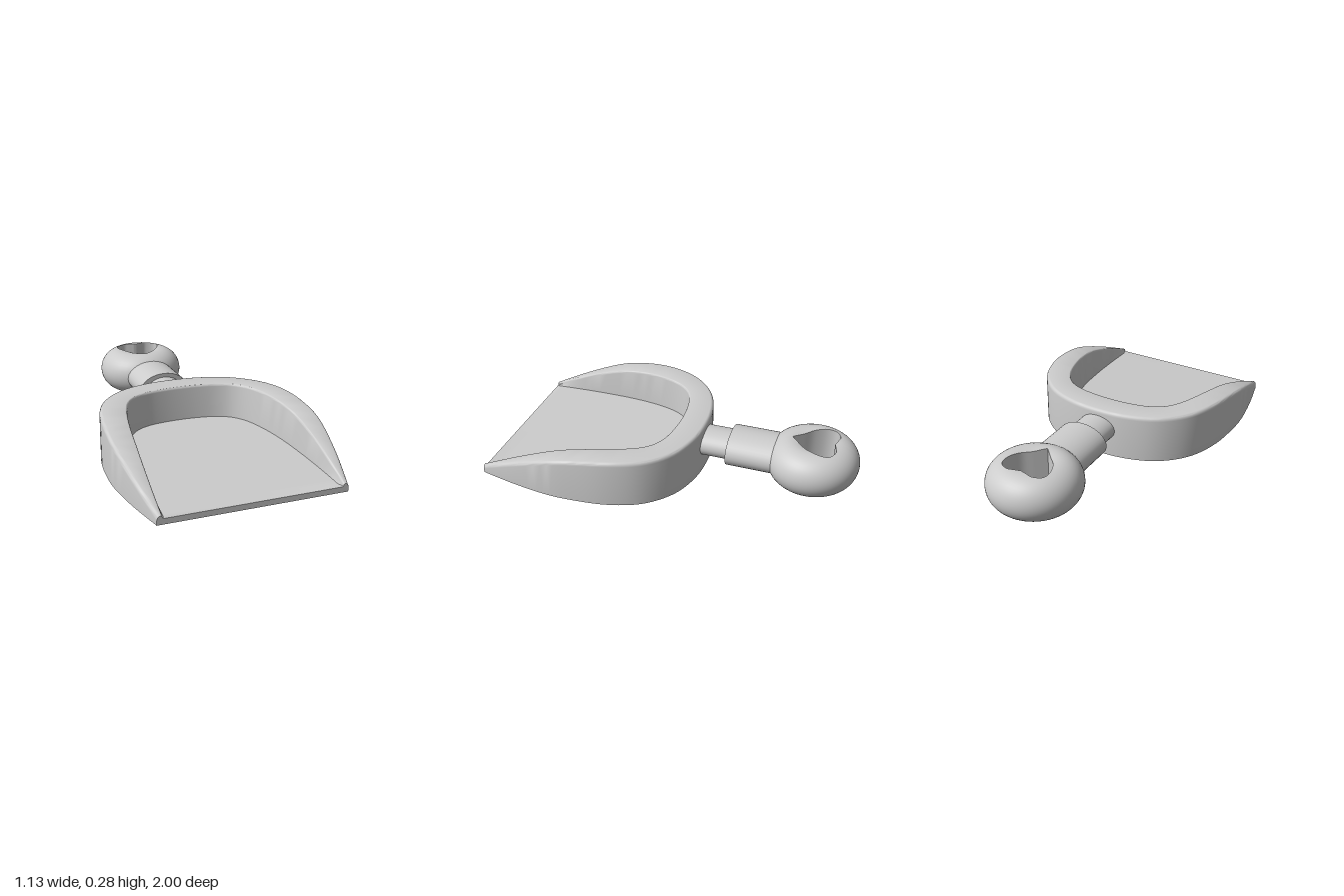
import * as THREE from 'three';
import { toCreasedNormals } from 'three/addons/utils/BufferGeometryUtils.js';

const material = new THREE.MeshStandardMaterial({ color: 0xcccccc });
const smooth = (t) => t * t * (3 - 2 * t);

function mesh(name, geometry) {
  const m = new THREE.Mesh(geometry, material);
  m.name = name;
  return m;
}

// Skin a list of cross-sections (each a list of Vector3)
function loft(sections, closeSection = false) {
  const pos = [];
  const ab = new THREE.Vector3(), ac = new THREE.Vector3();
  const tri = (a, b, c) => {
    ab.subVectors(b, a); ac.subVectors(c, a);
    if (ab.cross(ac).length() < 1e-9) return;
    for (const p of [a, b, c]) pos.push(p.x, p.y, p.z);
  };
  for (let i = 0; i < sections.length - 1; i++) {
    const s = sections[i], t = sections[i + 1], n = s.length;
    for (let j = 0; j < (closeSection ? n : n - 1); j++) {
      const k = (j + 1) % n;
      tri(s[j], t[j], t[k]);
      tri(s[j], t[k], s[k]);
    }
  }
  const g = new THREE.BufferGeometry();
  g.setAttribute('position', new THREE.Float32BufferAttribute(pos, 3));
  return toCreasedNormals(g, 0.6);
}

// Spline through a half outline that ends on x = 0, continued by its mirror image
function mirroredCurve(half) {
  const pts = half.map(([x, z]) => new THREE.Vector2(x, z));
  const other = half.slice(0, -1).reverse().map(([x, z]) => new THREE.Vector2(-x, z));
  return new THREE.SplineCurve([...pts, ...other]);
}

// Scoop: outer and inner rim outlines (x, z), paired point by point
const outer = mirroredCurve([[0.49, 1], [0.532, 0.8], [0.56, 0.6], [0.562, 0.45], [0.542, 0.26],
  [0.49, 0.1], [0.41, -0.01], [0.3, -0.09], [0.15, -0.138], [0, -0.15]]);
const inner = mirroredCurve([[0.462, 1], [0.458, 0.8], [0.447, 0.6], [0.428, 0.42], [0.395, 0.26],
  [0.35, 0.14], [0.29, 0.065], [0.21, 0.025], [0.11, 0.006], [0, 0]]);
const rim = new THREE.SplineCurve([[-0.2, 0.27], [0, 0.27], [0.2, 0.27], [0.38, 0.257], [0.56, 0.222],
  [0.78, 0.142], [1, 0.045]].map(([z, y]) => new THREE.Vector2(z, y)));

// Rim height at a given z, found by bisection along the rim curve
function rimHeight(z) {
  let lo = 0, hi = 1;
  for (let i = 0; i < 24; i++) {
    const mid = (lo + hi) / 2;
    if (rim.getPoint(mid).x < z) lo = mid; else hi = mid;
  }
  return rim.getPoint(lo).y;
}
const floorHeight = (z) => 0.03 + 0.05 * (1 - z);

function scoopSection(u) {
  const o = outer.getPoint(u), i = inner.getPoint(u);
  const width = o.distanceTo(i);
  const ho = rimHeight(o.y), hi = rimHeight(i.y);
  const zb = i.y + 0.012 * (1 - i.y), fy = floorHeight(zb);
  const ro = Math.min(0.022, ho * 0.5), ri = Math.min(0.014, (hi - fy) * 0.8);
  const at = (d, y) => {
    const p = o.clone().lerp(i, d / width);
    return new THREE.Vector3(p.x, y, p.y);
  };
  const pts = [new THREE.Vector3(0, 0, o.y), at(0, 0)];
  const steps = 4;
  // rounded outer edge
  for (let k = 0; k <= steps; k++) {
    const a = (k / steps) * Math.PI / 2;
    pts.push(at(ro * 0.8 * (1 - Math.cos(a)), ho - ro + ro * Math.sin(a)));
  }
  // rounded inner edge
  for (let k = 0; k <= steps; k++) {
    const a = (k / steps) * Math.PI / 2;
    pts.push(at(width - ri * 0.7 * (1 - Math.sin(a)), hi - ri + ri * Math.cos(a)));
  }
  pts.push(new THREE.Vector3(i.x * 0.978, fy, zb), new THREE.Vector3(0, fy, zb));
  return pts;
}

function createScoop() {
  const group = new THREE.Group();
  group.name = 'scoop';
  const sections = [];
  for (let k = 0; k <= 72; k++) sections.push(scoopSection(k / 72));
  group.add(mesh('pan', loft(sections)));
  // Front lip closes the open end
  const half = sections[0].slice(1, -1);
  const lip = [...half.map((p) => new THREE.Vector2(p.x, p.y)),
    ...half.slice().reverse().map((p) => new THREE.Vector2(-p.x, p.y))];
  const cap = new THREE.ShapeGeometry(new THREE.Shape(lip));
  cap.translate(0, 0, 1);
  group.add(mesh('frontLip', cap));
  return group;
}

// Oval bar along z
function bar(name, rx, ry, zFront, zBack) {
  const g = new THREE.CylinderGeometry(1, 1, zFront - zBack, 40);
  g.rotateX(Math.PI / 2);
  g.scale(rx, ry, 1);
  g.translate(0, 0.16, (zFront + zBack) / 2);
  return mesh(name, g);
}

// Round knob pierced by a heart-shaped hole
function createKnob() {
  const cz = -0.75, r = 0.125;
  const heart = new THREE.SplineCurve([[0, 0.12], [0.05, 0.07], [0.098, 0.02], [0.128, -0.045],
    [0.122, -0.098], [0.075, -0.125], [0.035, -0.118], [0, -0.108]].map(([x, z]) => new THREE.Vector2(x, z)));
  const hole = heart.getPoints(32);
  for (let k = 31; k >= 0; k--) hole.push(new THREE.Vector2(-hole[k].x, hole[k].y));
  const n = 24;
  const sections = hole.map((h) => {
    const rh = h.length(), dx = h.x / rh, dz = h.y / rh;
    // Ring section: arc from the hole's lower edge round the outside to its upper edge
    const start = Math.acos(THREE.MathUtils.clamp((rh - r) / r, -1, 1));
    const pts = [];
    for (let k = 0; k <= n; k++) {
      const a = -start + (2 * start * k) / n;
      const rho = r + r * Math.cos(a);
      pts.push(new THREE.Vector3(dx * rho, 0.16 + r * Math.sin(a), cz + dz * rho));
    }
    return pts;
  });
  return mesh('knob', loft(sections, true));
}

export function createModel() {
  const model = new THREE.Group();
  model.name = 'dustpan';
  model.add(createScoop());
  const handle = new THREE.Group();
  handle.name = 'handle';
  handle.add(bar('neck', 0.107, 0.075, -0.1, -0.32));
  handle.add(bar('grip', 0.145, 0.098, -0.295, -0.6));
  handle.add(createKnob());
  model.add(handle);
  return model;
}
